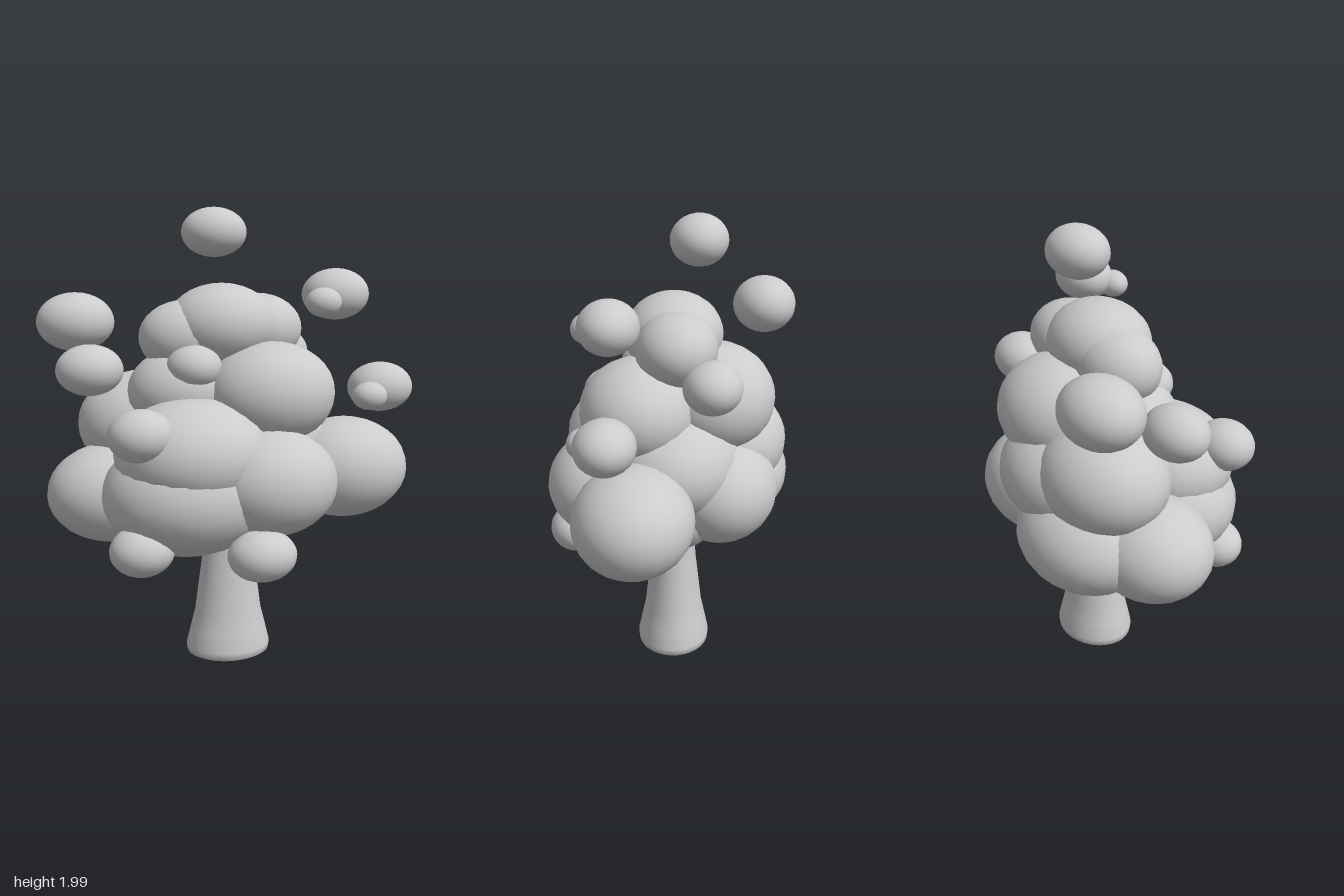
import * as THREE from 'three';

const material = new THREE.MeshStandardMaterial({ color: 0xcccccc });

// Every leaf clump is an ellipsoid: [x, y, z, rx, ry, rz]
const sphere = new THREE.SphereGeometry(1, 24, 16);

function addClumps(parent, name, list) {
  const group = new THREE.Group();
  group.name = name;
  list.forEach(([x, y, z, rx, ry, rz], i) => {
    const clump = new THREE.Mesh(sphere, material);
    clump.name = `${name}${i + 1}`;
    clump.position.set(x, y, z);
    clump.scale.set(rx, ry, rz);
    group.add(clump);
  });
  parent.add(group);
}

export function createModel() {
  const tree = new THREE.Group();
  tree.name = 'tree';

  // Flared oval trunk, closed at the base
  const profile = [
    [0, 0.01], [0.17, 0.01], [0.188, 0.02], [0.192, 0.05], [0.172, 0.13], [0.152, 0.21],
    [0.135, 0.34], [0.12, 0.45], [0.11, 0.56], [0.1, 0.8], [0, 0.8],
  ].map(([r, y]) => new THREE.Vector2(r, y));
  const trunk = new THREE.Mesh(new THREE.LatheGeometry(profile, 32), material);
  trunk.name = 'trunk';
  trunk.scale.z = 0.86;
  tree.add(trunk);

  // Lower ring of the crown
  addClumps(tree, 'lowerFoliage', [
    [0.05, 0.79, 0.04, 0.35, 0.235, 0.3],
    [0.495, 0.87, 0.14, 0.29, 0.223, 0.25],
    [0.09, 0.86, 0.295, 0.29, 0.227, 0.25],
    [-0.23, 0.81, 0.18, 0.37, 0.26, 0.32],
    [-0.5, 0.775, -0.09, 0.29, 0.218, 0.25],
    [-0.28, 0.78, -0.25, 0.33, 0.23, 0.275],
    [0.11, 0.855, -0.205, 0.29, 0.235, 0.25],
  ]);

  // Middle of the crown
  addClumps(tree, 'middleFoliage', [
    [0.11, 0.99, 0.0, 0.36, 0.25, 0.3],
    [-0.22, 0.98, 0.2, 0.33, 0.237, 0.3],
    [-0.33, 1.06, -0.2, 0.3, 0.235, 0.26],
    [-0.11, 1.0, -0.23, 0.31, 0.235, 0.27],
    [0.145, 1.215, 0.14, 0.285, 0.222, 0.25],
    [0.0, 1.23, -0.17, 0.29, 0.24, 0.27],
    [-0.2, 1.22, 0.0, 0.245, 0.19, 0.22],
  ]);

  // Top of the crown
  addClumps(tree, 'topFoliage', [
    [-0.03, 1.5, 0.0, 0.24, 0.18, 0.212],
    [-0.18, 1.45, -0.02, 0.21, 0.16, 0.17],
    [0.14, 1.48, -0.018, 0.2, 0.155, 0.172],
  ]);

  // Small leaf puffs on and around the crown
  addClumps(tree, 'leafPuff', [
    [-0.03, 1.895, -0.105, 0.145, 0.107, 0.122],
    [-0.597, 1.5, -0.41, 0.178, 0.133, 0.15],
    [-0.597, 1.317, -0.055, 0.145, 0.109, 0.122],
    [0.4, 1.635, 0.23, 0.145, 0.107, 0.122],
    [0.305, 1.605, 0.325, 0.077, 0.06, 0.064],
    [0.62, 1.235, 0.23, 0.145, 0.107, 0.122],
    [0.525, 1.21, 0.325, 0.077, 0.06, 0.064],
    [0.005, 0.593, 0.44, 0.145, 0.107, 0.122],
    [-0.468, 1.095, 0.335, 0.134, 0.107, 0.122],
    [-0.465, 0.618, 0.31, 0.134, 0.105, 0.12],
    [-0.19, 1.335, 0.125, 0.118, 0.095, 0.115],
    [0.295, 1.365, -0.17, 0.142, 0.108, 0.122],
  ]);

  return tree;
}
